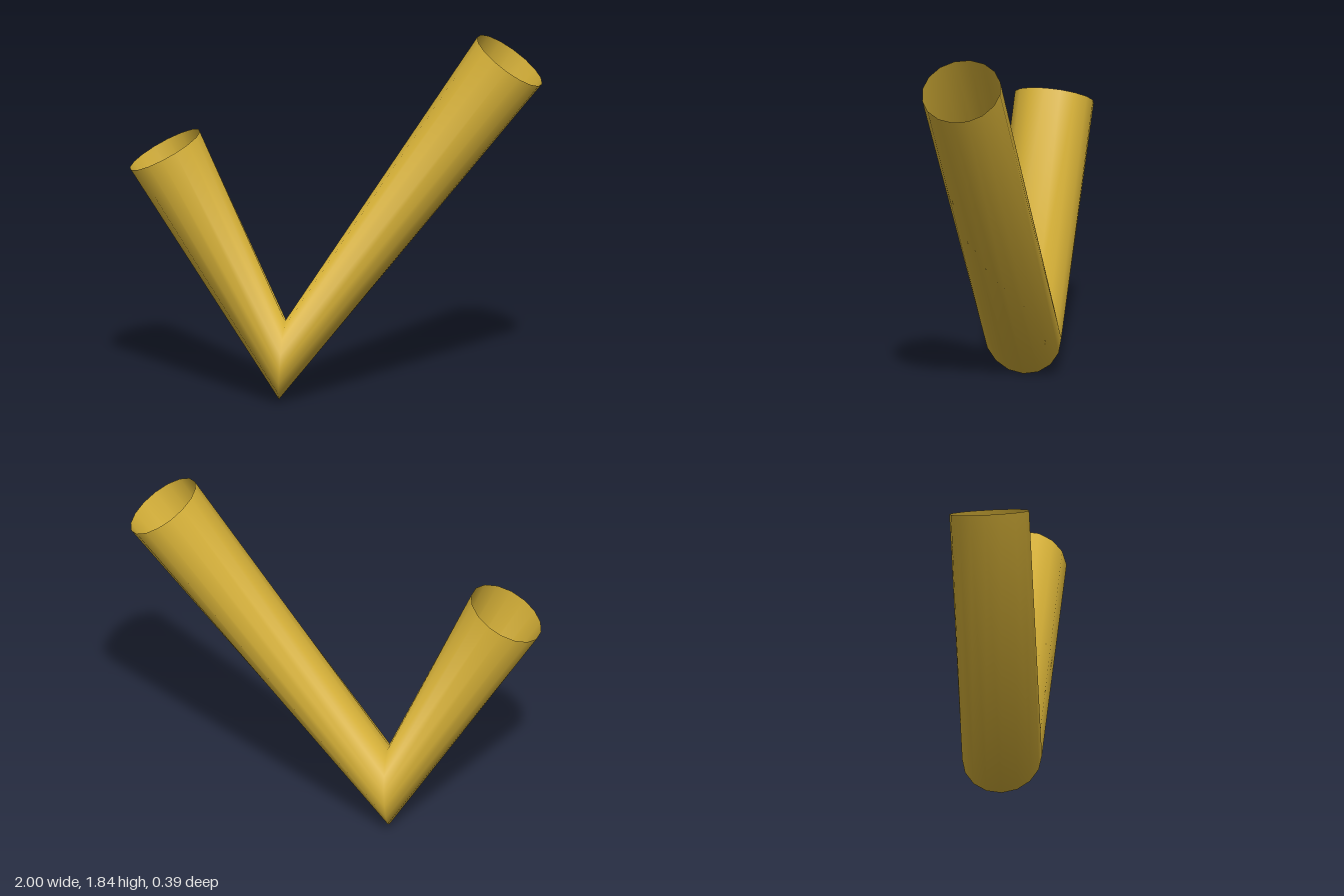
import * as THREE from 'three';

// Bent centre line: three stations, one tube ring at each
class BentPath extends THREE.Curve {
  constructor(points) {
    super();
    this.points = points;
    const [a, b, c] = points;
    const first = b.clone().sub(a).normalize();
    const second = c.clone().sub(b).normalize();
    // the middle ring is mitred halfway between the two legs
    this.tangents = [first, first.clone().add(second).normalize(), second];
  }
  getPointAt(u, target = new THREE.Vector3()) {
    return target.copy(this.points[Math.round(u * 2)]);
  }
  getTangentAt(u, target = new THREE.Vector3()) {
    return target.copy(this.tangents[Math.round(u * 2)]);
  }
}

export function createModel() {
  const group = new THREE.Group();
  group.name = 'bentTube';

  const gold = new THREE.MeshStandardMaterial({ color: 0xd4af37, side: THREE.DoubleSide });
  gold.name = 'gold';

  // Open-ended hollow tube: short leg, sharp bend, long leg
  const path = new BentPath([
    new THREE.Vector3(-0.83, 1.24, 0),
    new THREE.Vector3(-0.26, 0.197, 0),
    new THREE.Vector3(0.842, 1.727, 0),
  ]);
  const tube = new THREE.Mesh(new THREE.TubeGeometry(path, 2, 0.194, 16, false), gold);
  tube.name = 'tube';
  group.add(tube);

  return group;
}
